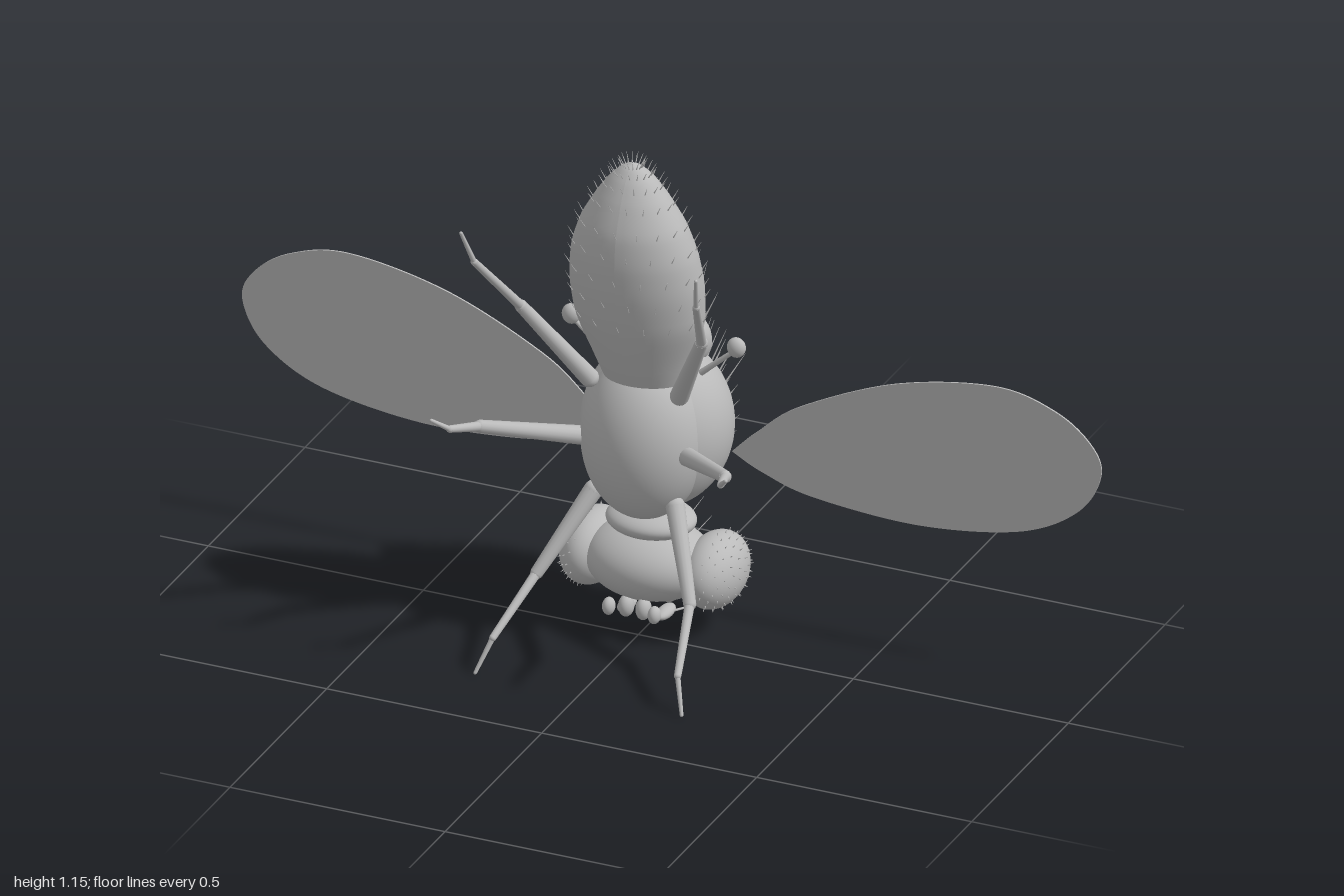
import * as THREE from 'three';
import { mergeGeometries } from 'three/addons/utils/BufferGeometryUtils.js';

const V = (x, y, z) => new THREE.Vector3(x, y, z);
const UP = V(0, 1, 0);

export function createModel() {
  const fly = new THREE.Group();
  fly.name = 'fly';
  const grey = new THREE.MeshStandardMaterial({ color: 0xbababa });
  grey.name = 'body grey';

  const add = (name, geometry, parent = fly) => {
    const mesh = new THREE.Mesh(geometry, grey);
    mesh.name = name;
    parent.add(mesh);
    return mesh;
  };
  const ellipsoid = (name, c, r, parent, detail = 40) => {
    const mesh = add(name, new THREE.SphereGeometry(1, detail, Math.round(detail * 0.7)), parent);
    mesh.position.set(...c);
    mesh.scale.set(...r);
    return mesh;
  };
  // Tapered rod between two points
  const rod = (a, b, ra, rb, sides = 14) => {
    const d = b.clone().sub(a);
    const g = new THREE.CylinderGeometry(rb, ra, d.length(), sides);
    g.applyQuaternion(new THREE.Quaternion().setFromUnitVectors(UP, d.clone().normalize()));
    const m = a.clone().add(b).multiplyScalar(0.5);
    return g.translate(m.x, m.y, m.z);
  };
  const hair = (p, dir, length, r = 0.0018) =>
    rod(p, p.clone().addScaledVector(dir.clone().normalize(), length), r, r * 0.2, 4);

  // Thorax, scutellum and neck
  ellipsoid('thoraxBack', [0, 0.467, -0.1], [0.165, 0.19, 0.16], fly, 56);
  ellipsoid('thoraxFront', [0, 0.467, -0.03], [0.137, 0.19, 0.13], fly, 56);
  ellipsoid('scutellum', [0, 0.65, -0.153], [0.1, 0.08, 0.053]);
  ellipsoid('neck', [0, 0.253, -0.067], [0.1, 0.036, 0.083]);

  // Abdomen: leaning stack of elliptical rings [y, centre z, depth radius, width radius]
  const keys = [
    [0.6, -0.045, 0.085, 0.09], [0.665, -0.031, 0.099, 0.11], [0.775, -0.008, 0.112, 0.145],
    [0.85, 0.006, 0.113, 0.149], [0.93, 0.018, 0.107, 0.141], [1.0, 0.025, 0.093, 0.119],
    [1.066, 0.028, 0.066, 0.082], [1.11, 0.029, 0.041, 0.05], [1.135, 0.03, 0.019, 0.023],
    [1.145, 0.03, 0.001, 0.001],
  ];
  const spine = new THREE.CatmullRomCurve3(keys.map(k => V(k[0], k[1], 0)));
  const girth = new THREE.CatmullRomCurve3(keys.map(k => V(k[2], k[3], 0)));
  const abdomenPoint = (t, a) => {
    const s = spine.getPoint(t), g = girth.getPoint(t);
    return V(Math.sin(a) * g.y, s.x, s.y + Math.cos(a) * g.x);
  };
  const abdomen = new THREE.CylinderGeometry(1, 1, 1, 48, 48, true);
  const pos = abdomen.attributes.position, uv = abdomen.attributes.uv;
  for (let i = 0; i < pos.count; i++) {
    const p = abdomenPoint(uv.getY(i), uv.getX(i) * Math.PI * 2);
    pos.setXYZ(i, p.x, p.y, p.z);
  }
  abdomen.computeVertexNormals();
  add('abdomen', abdomen);

  // Abdomen hairs in staggered rings
  const abdomenHairs = [];
  for (let row = 0; row < 9; row++) {
    for (let i = 0; i < 16; i++) {
      const t = 0.22 + row * 0.085, a = ((i + (row % 2) / 2) / 16) * Math.PI * 2;
      const p = abdomenPoint(t, a);
      abdomenHairs.push(hair(p, V(Math.sin(a) * 0.6, 1, Math.cos(a) * 0.6), 0.024, 0.0014));
    }
  }
  add('abdomenHairs', mergeGeometries(abdomenHairs));

  // Thorax bristles in rows over the back, longer toward the tail end
  const backBristles = [];
  for (let i = -4; i <= 4; i++) {
    for (let j = -5; j <= 5; j++) {
      const lon = i * 0.2, lat = j * 0.18;
      const n = V(Math.sin(lon) * Math.cos(lat), Math.sin(lat), -Math.cos(lon) * Math.cos(lat));
      const p = V(n.x * 0.165, 0.467 + n.y * 0.19, -0.1 + n.z * 0.16);
      const long = j > 1 && i % 2 === 0;
      backBristles.push(hair(p, n.add(V(0, 0.9, 0)), long ? 0.075 : 0.03, long ? 0.002 : 0.0014));
    }
  }
  for (const s of [-1, 1]) {
    backBristles.push(hair(V(s * 0.04, 0.68, -0.198), V(s * 0.15, 1, -0.25), 0.12, 0.002));
    backBristles.push(hair(V(s * 0.075, 0.69, -0.17), V(s * 0.4, 1, -0.3), 0.07, 0.002));
    backBristles.push(hair(V(s * 0.05, 0.3, -0.17), V(s * 0.3, 0.3, -1), 0.09, 0.002));
  }
  add('backBristles', mergeGeometries(backBristles));

  // Head
  ellipsoid('head', [0, 0.16, -0.06], [0.145, 0.086, 0.115], fly, 48);
  const headBristles = [];
  for (const s of [-1, 1]) {
    headBristles.push(hair(V(s * 0.04, 0.21, -0.14), V(s * 0.3, 0.6, -1), 0.08));
    headBristles.push(hair(V(s * 0.05, 0.17, -0.165), V(s * 0.3, 0.4, -1), 0.07));
    headBristles.push(hair(V(s * 0.04, 0.12, -0.155), V(s * 0.2, 0.1, -1), 0.06));
  }
  add('headBristles', mergeGeometries(headBristles));

  // Paired parts
  const legs = {
    foreLeg: [[0.095, 0.34, 0.02], [0.178, 0.175, 0.13], [0.215, 0.08, 0.275], [0.24, 0.008, 0.31]],
    midLeg: [[0.12, 0.464, 0.02], [0.285, 0.528, 0.185], [0.315, 0.557, 0.275], [0.342, 0.588, 0.31]],
    hindLeg: [[0.105, 0.605, 0.02], [0.21, 0.81, 0.14], [0.258, 0.968, 0.275], [0.273, 1.05, 0.31]],
  };
  const legRadii = [[0.021, 0.014], [0.011, 0.008], [0.006, 0.004]];

  const wingShape = new THREE.Shape();
  wingShape.moveTo(0.14, 0.39);
  wingShape.splineThru([
    [0.2, 0.45], [0.3, 0.53], [0.52, 0.63], [0.75, 0.673], [0.89, 0.643], [0.975, 0.58], [0.998, 0.51],
    [0.945, 0.415], [0.81, 0.34], [0.575, 0.305], [0.33, 0.32], [0.21, 0.355], [0.14, 0.39],
  ].map(p => new THREE.Vector2(...p)));
  const veins = [
    [[0.16, 0.4], [0.3, 0.515], [0.52, 0.615], [0.75, 0.66]],
    [[0.16, 0.395], [0.35, 0.49], [0.6, 0.57], [0.9, 0.62]],
    [[0.16, 0.39], [0.4, 0.455], [0.65, 0.5], [0.985, 0.52]],
    [[0.16, 0.385], [0.4, 0.41], [0.65, 0.425], [0.95, 0.43]],
    [[0.16, 0.38], [0.35, 0.365], [0.55, 0.35], [0.78, 0.34]],
    [[0.53, 0.48], [0.535, 0.45], [0.54, 0.42]],
    [[0.7, 0.426], [0.69, 0.385], [0.68, 0.346]],
  ];

  for (const s of [1, -1]) {
    const side = new THREE.Group();
    side.name = s > 0 ? 'leftSide' : 'rightSide';
    fly.add(side);
    const P = ([x, y, z]) => V(s * x, y, z);

    // Eye with short facet hairs
    const eyeC = [s * 0.142, 0.15, -0.085], eyeR = [0.066, 0.082, 0.105];
    ellipsoid('eye', eyeC, eyeR, side);
    const eyeHairs = [];
    for (let i = 0; i < 90; i++) {
      const u = 0.05 + 0.95 * (i + 0.5) / 90, r = Math.sqrt(1 - u * u), a = i * 2.39996;
      const n = V(s * u, r * Math.cos(a), r * Math.sin(a));
      const p = V(eyeC[0] + n.x * eyeR[0], eyeC[1] + n.y * eyeR[1], eyeC[2] + n.z * eyeR[2]);
      eyeHairs.push(hair(p, n, 0.007, 0.0016));
    }
    add('eyeHairs', mergeGeometries(eyeHairs), side);

    // Mouth lobes, antenna and its bristle
    ellipsoid('mouthLobe', [s * 0.02, 0.078, 0.018], [0.017, 0.025, 0.02], side, 20);
    ellipsoid('palp', [s * 0.053, 0.078, 0.035], [0.014, 0.02, 0.017], side, 20);
    ellipsoid('antennaBase', [s * 0.035, 0.068, -0.09], [0.018, 0.016, 0.03], side, 20);
    ellipsoid('antenna', [s * 0.045, 0.049, -0.042], [0.017, 0.013, 0.036], side, 20);
    add('antennaBristle', rod(P([0.048, 0.045, -0.05]), P([0.115, 0.034, -0.17]), 0.003, 0.001, 6), side);

    // Haltere
    add('haltereStalk', rod(P([0.11, 0.615, -0.08]), P([0.19, 0.685, -0.08]), 0.007, 0.005), side);
    ellipsoid('haltereKnob', [s * 0.192, 0.692, -0.08], [0.021, 0.023, 0.017], side, 20);

    // Legs: thick, middle and thin sections with round joints
    for (const [name, joints] of Object.entries(legs)) {
      const leg = new THREE.Group();
      leg.name = name;
      side.add(leg);
      legRadii.forEach(([ra, rb], i) => {
        add('legSection', rod(P(joints[i]), P(joints[i + 1]), ra, rb), leg);
        ellipsoid('joint', P(joints[i + 1]).toArray(), [rb, rb, rb], leg, 12);
      });
      ellipsoid('hip', P(joints[0]).toArray(), [0.021, 0.021, 0.021], leg, 16);
    }

    // Wing blade, turned about for the other side, with raised veins on the back
    const blade = new THREE.ExtrudeGeometry(wingShape, { depth: 0.004, bevelEnabled: false, curveSegments: 80 });
    blade.translate(0, 0, -0.002);
    if (s < 0) blade.rotateY(Math.PI);
    add('wing', blade.translate(0, 0, -0.174), side);
    add('wingVeins', mergeGeometries(veins.map(v => new THREE.TubeGeometry(
      new THREE.CatmullRomCurve3(v.map(([x, y]) => P([x, y, -0.177]))), 24, 0.0028, 6))), side);
  }
  return fly;
}
